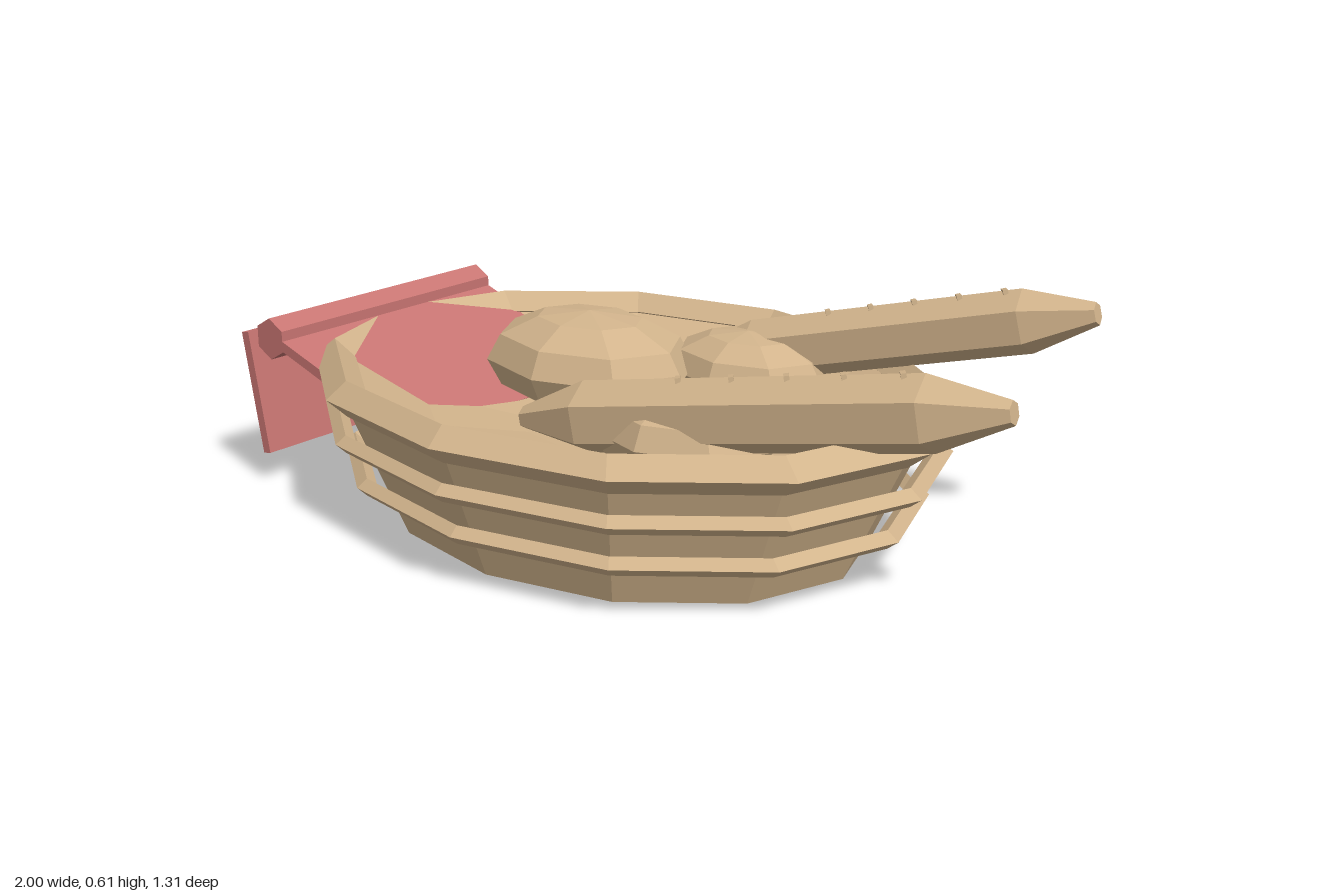
import * as THREE from 'three';

const tan = new THREE.MeshStandardMaterial({ color: 0xd2b48c, flatShading: true });
tan.name = 'wickerAndBreadTan';
const red = new THREE.MeshStandardMaterial({ color: 0xc87572, flatShading: true });
red.name = 'clothRed';

const OVAL = 1.3; // basket is stretched along x
const v = (x, y, z) => new THREE.Vector3(x, y, z);

function add(parent, name, geometry, material) {
  const mesh = new THREE.Mesh(geometry, material);
  mesh.name = name;
  parent.add(mesh);
  return mesh;
}

function lathe(points, sides) {
  return new THREE.LatheGeometry(points.map(([r, y]) => new THREE.Vector2(r, y)), sides);
}

// Long loaf: six-sided bar with tapered ends and small scores on its ridge
function longLoaf(parent, name, tail, tip, radius, taper) {
  const loaf = new THREE.Group();
  loaf.name = name;
  const along = tip.clone().sub(tail);
  const length = along.length();
  along.normalize();
  const side = along.clone().cross(v(0, 1, 0)).normalize();
  const up = side.clone().cross(along);
  loaf.applyMatrix4(new THREE.Matrix4().makeBasis(side, along, up).setPosition(tail));
  add(loaf, 'loafBody', lathe([
    [0, 0], [0.027, 0], [radius, taper], [radius, length - taper], [0.027, length], [0, length],
  ], 6), tan);
  for (let i = 0; i < 5; i++) {
    const score = add(loaf, 'score', new THREE.BoxGeometry(0.03, 0.012, 0.012), tan);
    score.position.set(0, taper + (length - 2 * taper) * (0.3 + 0.16 * i), radius - 0.003);
    score.rotation.z = 0.5;
  }
  parent.add(loaf);
}

export function createModel() {
  const model = new THREE.Group();
  model.name = 'breadBasket';

  // Basket: tapered oval wall, dished lining and three diamond-section bands
  const basket = new THREE.Group();
  basket.name = 'basket';
  basket.position.x = -0.08;
  basket.scale.x = OVAL;
  model.add(basket);
  add(basket, 'basketWall', lathe([[0, 0], [0.49, 0], [0.62, 0.35]], 12), tan);
  add(basket, 'basketLining', lathe([[0.59, 0.352], [0.42, 0.265], [0.22, 0.23], [0, 0.22]], 12), tan);
  for (const [name, outer, tube, y] of [
    ['lowerBand', 0.598, 0.022, 0.124],
    ['middleBand', 0.639, 0.022, 0.235],
    ['rim', 0.654, 0.044, 0.345],
  ]) {
    const band = add(basket, name, new THREE.TorusGeometry(outer - tube, tube, 4, 12), tan);
    band.rotation.x = -Math.PI / 2;
    band.position.y = y;
  }

  // Round buns
  for (const [name, x, y, z, rx, ry, rz] of [
    ['largeBun', -0.28, 0.33, -0.102, 0.295, 0.13, 0.218],
    ['backBun', 0.063, 0.325, -0.3, 0.22, 0.1, 0.163],
    ['frontBun', 0.2, 0.305, 0.117, 0.24, 0.11, 0.187],
  ]) {
    const bun = add(model, name, new THREE.SphereGeometry(1, 8, 6), tan);
    bun.position.set(x, y, z);
    bun.scale.set(rx, ry, rz);
  }

  // Long loaves leaning over the rim
  longLoaf(model, 'frontLoaf', v(-0.18, 0.29, 0.245), v(0.995, 0.502, 0.072), 0.086, 0.18);
  longLoaf(model, 'backLoaf', v(-0.1, 0.325, -0.318), v(0.89, 0.57, -0.492), 0.077, 0.165);

  // Cloth: inner sheet, fold over the rim and hanging flap
  const cloth = new THREE.Group();
  cloth.name = 'cloth';
  cloth.position.z = 0.045;
  model.add(cloth);
  const sheet = add(cloth, 'clothSheet', new THREE.BoxGeometry(0.5, 0.025, 0.73), red);
  sheet.position.set(-0.635, 0.305, 0);
  sheet.rotation.z = -0.33;
  const fold = add(cloth, 'clothFold', new THREE.CylinderGeometry(0.053, 0.053, 0.73, 6), red);
  fold.position.set(-0.888, 0.388, 0);
  fold.rotation.x = Math.PI / 2;
  const flap = add(cloth, 'clothFlap', new THREE.BoxGeometry(0.025, 0.315, 0.73), red);
  flap.position.set(-0.957, 0.234, 0);
  flap.rotation.z = 0.18;

  return model;
}
